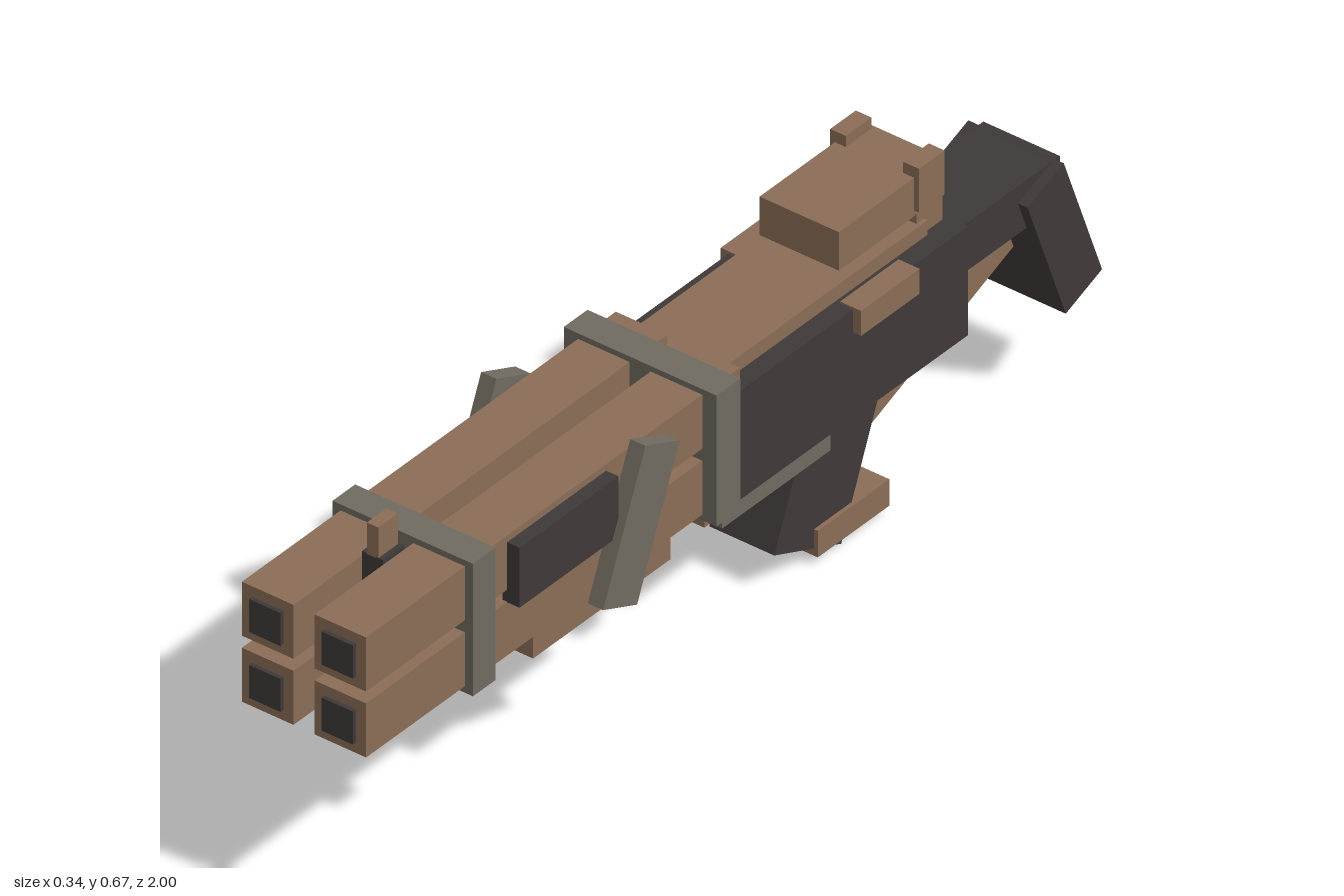
import * as THREE from 'three';

const material = (name, color) => {
  const m = new THREE.MeshStandardMaterial({ color });
  m.name = name;
  return m;
};

export function createModel() {
  const model = new THREE.Group();
  model.name = 'fourBarrelLauncher';
  const brown = material('brown', 0x8b6d56);
  const grey = material('grey', 0x706b60);
  const dark = material('dark', 0x3f3939);

  // Box from ranges [min, max] on each axis
  const block = (name, mat, [x0, x1], [y0, y1], [z0, z1]) => {
    const mesh = new THREE.Mesh(new THREE.BoxGeometry(x1 - x0, y1 - y0, z1 - z0), mat);
    mesh.position.set((x0 + x1) / 2, (y0 + y1) / 2, (z0 + z1) / 2);
    mesh.name = name;
    model.add(mesh);
    return mesh;
  };
  // Box from size and centre, tilted about x
  const tilted = (name, mat, size, centre, angle) => {
    const mesh = new THREE.Mesh(new THREE.BoxGeometry(...size), mat);
    mesh.position.set(...centre);
    mesh.rotation.x = angle;
    mesh.name = name;
    model.add(mesh);
    return mesh;
  };
  const around = (c, h) => [c - h, c + h];

  // Four square barrels with dark bores
  for (const x of [-0.076, 0.076]) {
    for (const y of [0.387, 0.519]) {
      block('barrel', brown, around(x, 0.054), around(y, 0.054), [0, 0.992]);
      block('bore', dark, around(x, 0.033), around(y, 0.033), [0.985, 1]);
    }
  }

  // Clamping bands
  block('frontBand', grey, [-0.147, 0.147], [0.32, 0.585], [0.67, 0.73]);
  block('rearBand', grey, [-0.16, 0.16], [0.322, 0.584], [0.037, 0.1]);

  // Front sight on its dark base
  block('frontSightBase', dark, [-0.022, 0.022], [0.468, 0.582], [0.755, 0.81]);
  block('frontSight', brown, [-0.012, 0.012], [0.58, 0.643], [0.758, 0.81]);

  // Side panel and handguard
  block('sidePanel', dark, [0.12, 0.156], [0.44, 0.56], [0.355, 0.618]);
  block('handguard', brown, [-0.115, 0.115], [0.273, 0.335], [0.165, 0.53]);

  // Receiver and top cover
  block('receiver', dark, [-0.13, 0.13], [0.308, 0.526], [-0.605, 0.06]);
  block('topCover', brown, [-0.093, 0.093], [0.5, 0.555], [-0.545, 0.01]);

  // Rear sight block
  block('rearSightStem', brown, [-0.085, 0.085], [0.52, 0.575], [-0.595, -0.525]);
  block('rearSightPlate', dark, [-0.085, 0.085], [0.573, 0.593], [-0.597, -0.53]);
  block('rearSightBlock', brown, [-0.083, 0.083], [0.571, 0.648], [-0.598, -0.322]);

  // Mirrored ears, side lugs and levers
  for (const s of [-1, 1]) {
    block('rearSightEar', brown, around(s * 0.0765, 0.0165), [0.582, 0.67], [-0.59, -0.522]);
    block('sideLug', brown, around(s * 0.125, 0.022), [0.48, 0.53], [-0.455, -0.3]);
    tilted('sideLever', grey, [0.032, 0.29, 0.098], [s * 0.156, 0.447, 0.315], -0.398);
  }

  // Underside block, trigger and grip
  block('triggerHousing', grey, [-0.085, 0.085], [0.226, 0.32], [-0.297, -0.01]);
  block('trigger', brown, [-0.024, 0.024], [0.185, 0.217], [-0.24, -0.04]);
  tilted('grip', dark, [0.136, 0.35, 0.192], [0, 0.203, -0.325], -0.39);
  block('gripPlate', brown, [-0.076, 0.076], [0.02, 0.073], [-0.465, -0.275]);

  // Stock
  block('stockTube', dark, [-0.08, 0.08], [0.382, 0.478], [-0.912, -0.6]);
  tilted('buttPlate', dark, [0.2, 0.286, 0.103], [0, 0.328, -0.9], 0.363);
  tilted('stockStrut', brown, [0.06, 0.056, 0.47], [0, 0.265, -0.668], 0.377);

  return model;
}
